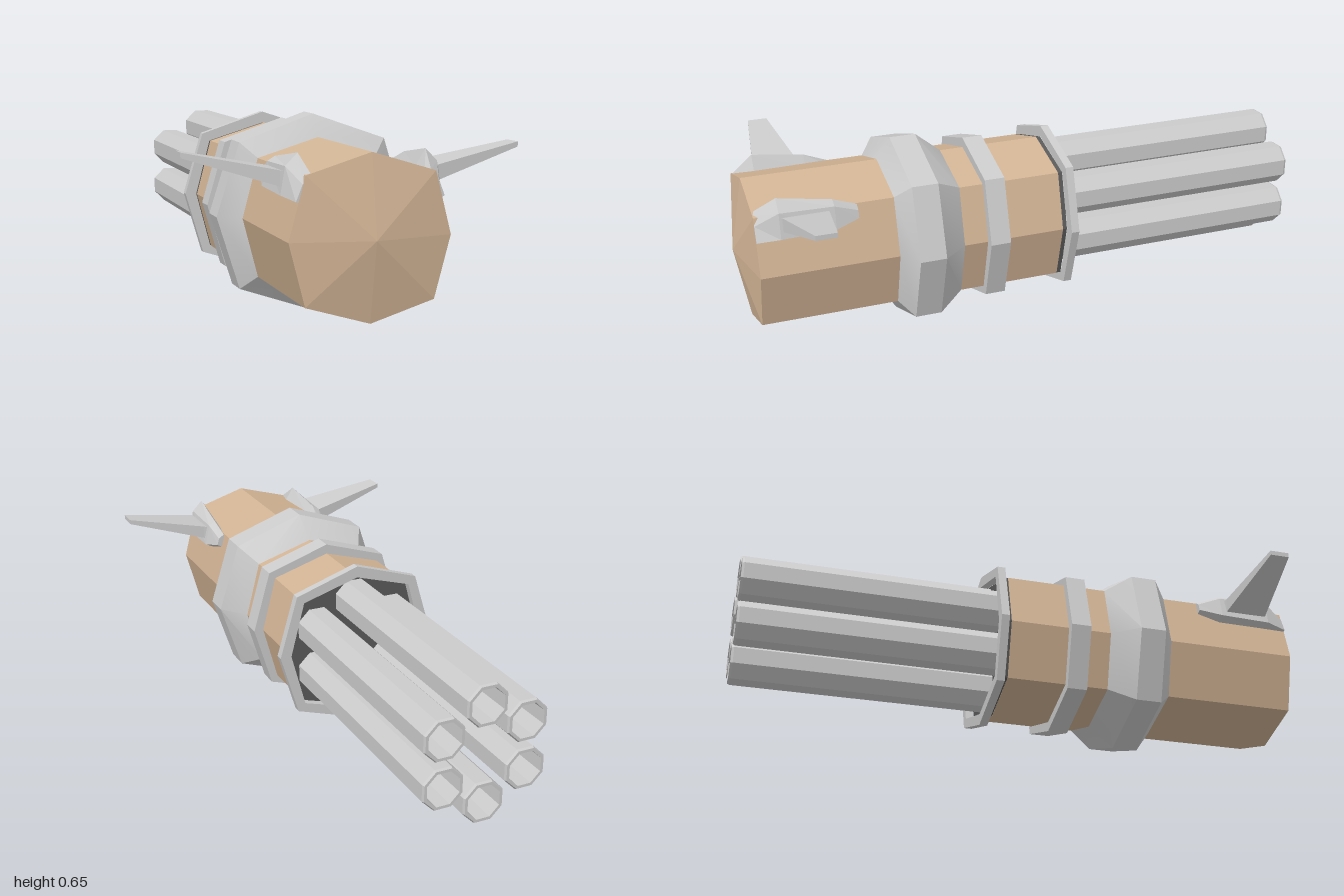
import * as THREE from 'three';
import { toCreasedNormals } from 'three/addons/utils/BufferGeometryUtils.js';

const CY = 0.324; // height of the long axis
const grey = new THREE.MeshStandardMaterial({ color: 0xcccccc, flatShading: true });
const smoothGrey = new THREE.MeshStandardMaterial({ color: 0xcccccc });
const tan = new THREE.MeshStandardMaterial({ color: 0xd2b495, flatShading: true });
const dark = new THREE.MeshStandardMaterial({ color: 0x5a5a5a, flatShading: true });

// Skin over counter-clockwise [x, y] loops at rising z; the end caps may be pushed out to a point
function loft(sections, tip = 0) {
  const pos = [];
  const tri = (...corners) => corners.forEach((c) => pos.push(...c));
  const rings = sections.map(({ z, loop }) => loop.map(([x, y]) => [x, y, z]));
  const n = rings[0].length;
  const centre = (ring, dz) => {
    const c = [0, 0, ring[0][2] + dz];
    ring.forEach((p) => { c[0] += p[0] / n; c[1] += p[1] / n; });
    return c;
  };
  const first = rings[0], last = rings[rings.length - 1];
  const c0 = centre(first, 0), c1 = centre(last, tip);
  for (let i = 0; i < n; i++) {
    const j = (i + 1) % n;
    for (let k = 0; k + 1 < rings.length; k++) {
      const a = rings[k], b = rings[k + 1];
      tri(a[i], a[j], b[j]);
      tri(a[i], b[j], b[i]);
    }
    tri(c0, first[j], first[i]);
    tri(c1, last[i], last[j]);
  }
  const g = new THREE.BufferGeometry();
  g.setAttribute('position', new THREE.Float32BufferAttribute(pos, 3));
  g.computeVertexNormals();
  return g;
}

// Eight-cornered hull outline of half-height r
function hull(r) {
  const d = 0.65 * (r - 0.25), dx = 0.2 + d, dy = 0.19 + d;
  return [[r, 0], [dx, dy], [0, r], [-dx, dy], [-r, 0], [-dx, -dy], [0, -r], [dx, -dy]]
    .map(([x, y]) => [x, y + CY]);
}
const hullLoft = (steps, tip) => loft(steps.map(([z, r]) => ({ z, loop: hull(r) })), tip);

const toShape = (loop) => new THREE.Shape(loop.map(([x, y]) => new THREE.Vector2(x, y)));

export function createModel() {
  const model = new THREE.Group();
  const add = (name, geometry, material, parent = model) => {
    const mesh = new THREE.Mesh(geometry, material);
    mesh.name = name;
    parent.add(mesh);
    return mesh;
  };

  // Body with a shallow pointed nose
  add('body', hullLoft([[-0.09, 0.252], [0.955, 0.252]], 0.045), tan);

  // Bevelled collar and narrow band
  add('collar', toCreasedNormals(hullLoft(
    [[0.265, 0.25], [0.355, 0.324], [0.445, 0.324], [0.495, 0.25]]), 0.5), smoothGrey);
  add('band', hullLoft([[0.115, 0.286], [0.185, 0.286]]), grey);

  // Open rear flange with a dark floor inside
  const rim = toShape(hull(0.29));
  rim.holes.push(toShape(hull(0.25)));
  const flange = new THREE.ExtrudeGeometry(rim, { depth: 0.028, bevelEnabled: false });
  add('rearFlange', flange.translate(0, 0, -0.135), grey);
  add('rearPlate', hullLoft([[-0.105, 0.251], [-0.085, 0.251]]), dark);

  // Six hollow eight-sided barrels
  const barrels = new THREE.Group();
  barrels.name = 'barrels';
  model.add(barrels);
  const profile = [[0.074, 0], [0.074, 0.885], [0.07, 0.893], [0.06, 0.893], [0.055, 0.6], [0, 0.6]]
    .map(([r, h]) => new THREE.Vector2(r, h));
  for (let i = 0; i < 6; i++) {
    const a = Math.PI / 2 + (i * Math.PI) / 3;
    const g = new THREE.LatheGeometry(profile, 8, Math.PI / 8);
    g.rotateX(-Math.PI / 2);
    g.translate(0.163 * Math.cos(a), CY + 0.163 * Math.sin(a), -0.107);
    add('barrel', g, grey, barrels);
  }

  // Fin mount, tapering towards the rear
  const mount = [
    { z: 0.62, loop: [[0.21, 0.465], [0.232, 0.475], [0.225, 0.5], [0.205, 0.515], [0.2, 0.5]] },
    { z: 0.7, loop: [[0.22, 0.44], [0.252, 0.455], [0.235, 0.53], [0.21, 0.545], [0.185, 0.51]] },
    { z: 0.88, loop: [[0.213, 0.435], [0.252, 0.45], [0.238, 0.535], [0.2, 0.573], [0.167, 0.52]] },
    { z: 0.955, loop: [[0.208, 0.432], [0.23, 0.44], [0.21, 0.49], [0.185, 0.518], [0.165, 0.52]] },
  ];
  // Fin blade outline at a given distance from the middle
  const blade = (out, s, half, low, high) => {
    const u = -s * 0.795;
    return { z: out, loop: [[u - half, low], [u + half, low], [u + half, high], [u - half, high]] };
  };
  for (const s of [1, -1]) {
    const fin = new THREE.Group();
    fin.name = s > 0 ? 'leftFin' : 'rightFin';
    model.add(fin);
    const sections = mount.map(({ z, loop }) => {
      const side = loop.map(([x, y]) => [s * x, y]);
      return { z, loop: s > 0 ? side : side.reverse() };
    });
    add('finMount', loft(sections), grey, fin);
    const g = loft([
      blade(0.19, s, 0.09, 0.46, 0.508),
      blade(0.25, s, 0.075, 0.475, 0.522),
      blade(0.533, s, 0.034, 0.562, 0.578),
    ]);
    add('finBlade', g.rotateY((s * Math.PI) / 2), grey, fin);
  }
  return model;
}
